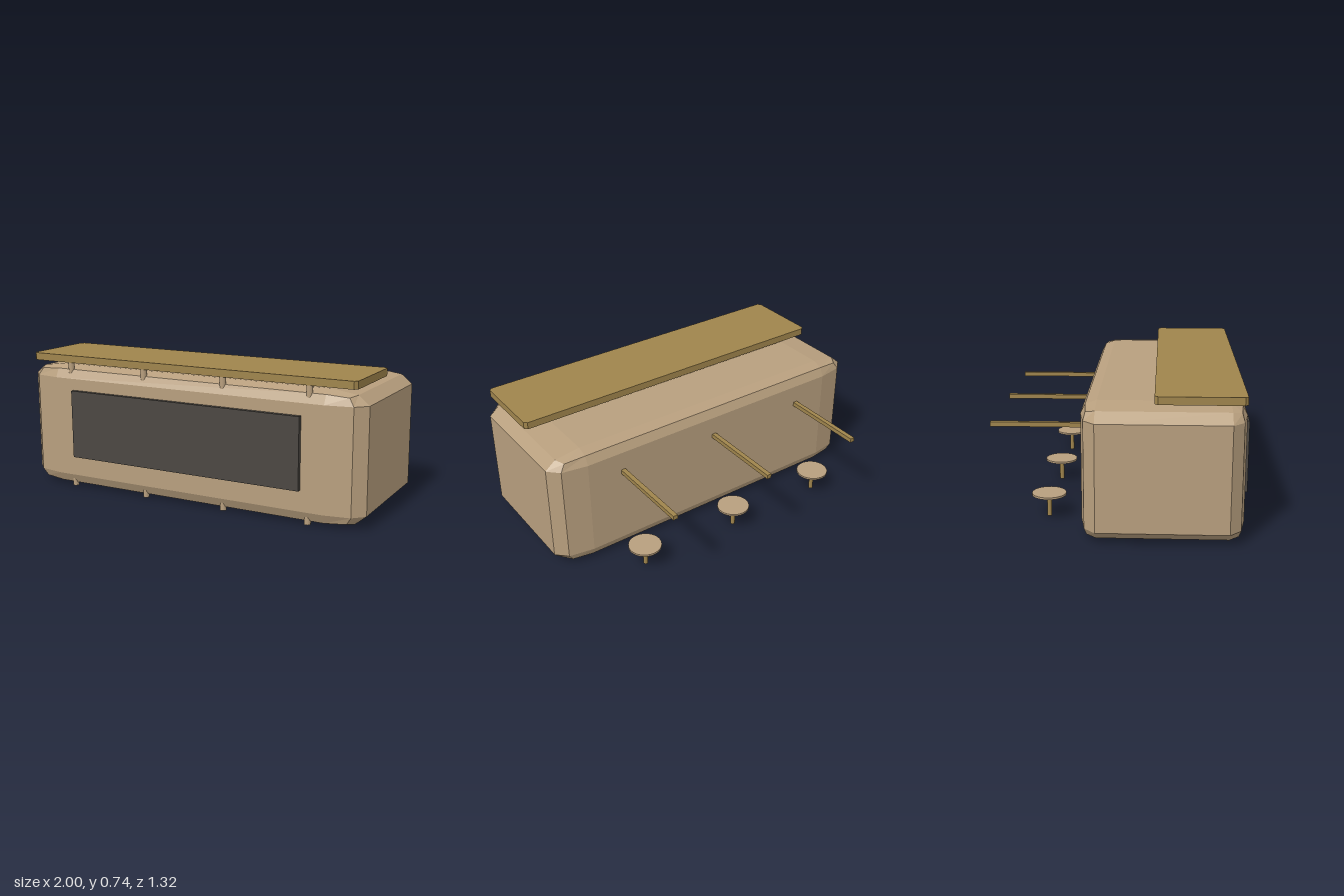
import * as THREE from 'three';
import { RoundedBoxGeometry } from 'three/addons/geometries/RoundedBoxGeometry.js';

const mat = (name, color) => {
  const m = new THREE.MeshStandardMaterial({ color });
  m.name = name;
  return m;
};

export function createModel() {
  const group = new THREE.Group();
  const tan = mat('tan', 0xb89f7e);
  const ochre = mat('ochre', 0x9f844c);
  const charcoal = mat('charcoal', 0x4b4742);

  const add = (name, geometry, material, x, y, z) => {
    const mesh = new THREE.Mesh(geometry, material);
    mesh.name = name;
    mesh.position.set(x, y, z);
    group.add(mesh);
    return mesh;
  };

  // Body: bevelled box stretched to size, so the bevels stretch with it
  let body = new RoundedBoxGeometry(1, 1, 1, 1, 0.1);
  body.scale(2, 0.683, 0.815);
  if (body.index) body = body.toNonIndexed();
  body.computeVertexNormals();
  add('body', body, tan, 0, 0.3415, 0.2325);

  // Front panel
  add('frontPanel', new THREE.BoxGeometry(1.364, 0.374, 0.04), charcoal, 0, 0.365, 0.643);

  // Canopy board with clipped corners
  const w = 0.96, d = 0.22, c = 0.016;
  const outline = new THREE.Shape([
    [-w + c, -d], [w - c, -d], [w, -d + c], [w, d - c],
    [w - c, d], [-w + c, d], [-w, d - c], [-w, -d + c],
  ].map(([x, y]) => new THREE.Vector2(x, y)));
  const board = new THREE.ExtrudeGeometry(outline, { depth: 0.04, bevelEnabled: false });
  board.rotateX(-Math.PI / 2);
  add('canopyBoard', board, ochre, 0, 0.701, 0.409);

  // Posts along the front
  for (const x of [-0.713, -0.238, 0.238, 0.713]) {
    add('frontPost', new THREE.CylinderGeometry(0.0165, 0.0165, 0.701, 12), tan, x, 0.3505, 0.611);
  }

  // Rear rods and stools
  for (const x of [-0.594, 0, 0.594]) {
    add('rearRod', new THREE.BoxGeometry(0.026, 0.024, 0.5), ochre, x, 0.499, -0.41);
    add('stoolSeat', new THREE.CylinderGeometry(0.09, 0.09, 0.011, 32), tan, x, 0.1225, -0.363);
    add('stoolLeg', new THREE.CylinderGeometry(0.0125, 0.0125, 0.118, 12), ochre, x, 0.059, -0.363);
  }
  return group;
}
